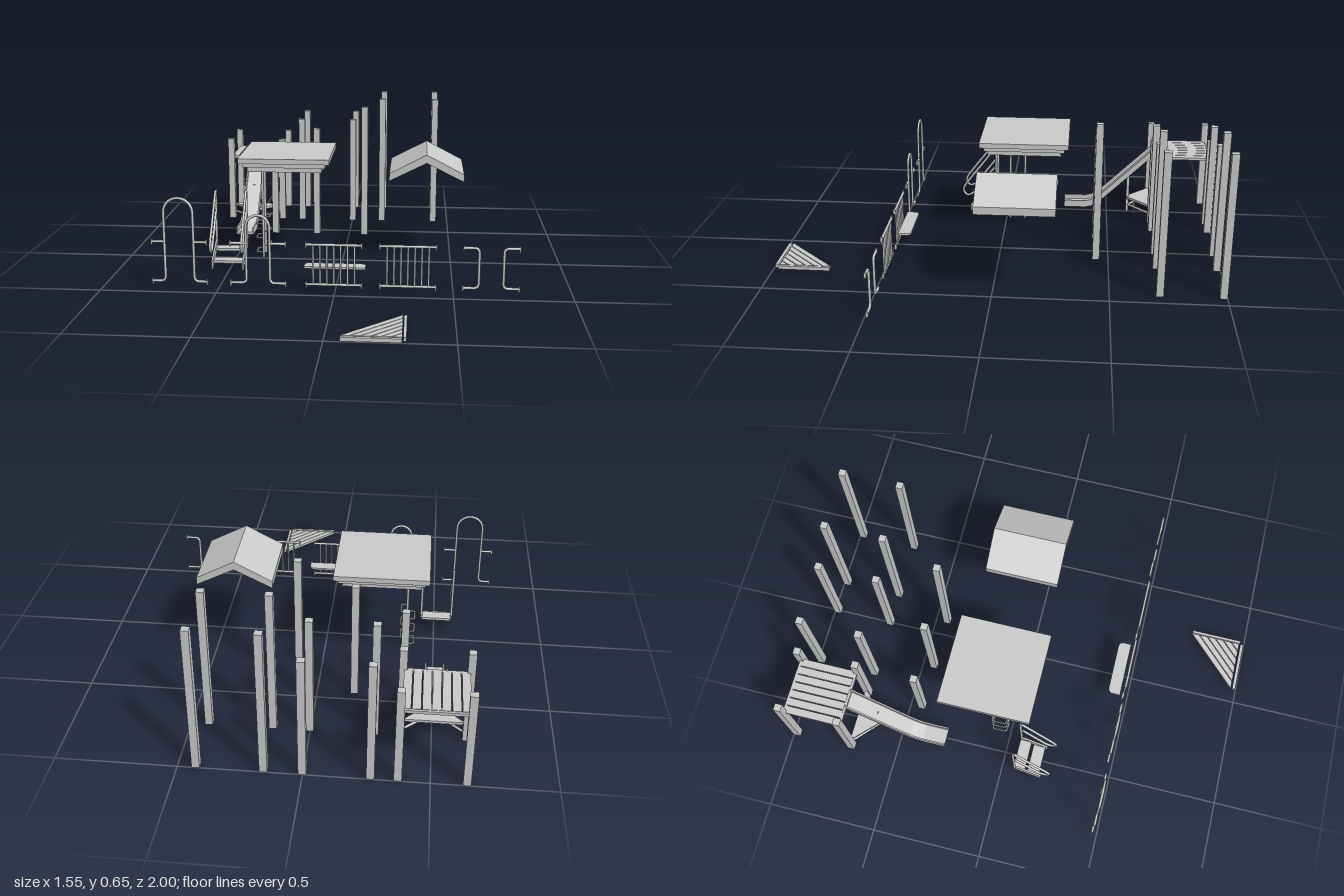
import * as THREE from 'three';

const mat = new THREE.MeshStandardMaterial({ color: 0xcccccc, side: THREE.DoubleSide });
const V = (x, y, z) => new THREE.Vector3(x, y, z);

function add(parent, name, geo) {
  const mesh = new THREE.Mesh(geo, mat);
  mesh.name = name;
  parent.add(mesh);
  return mesh;
}

function group(parent, name) {
  const g = new THREE.Group();
  g.name = name;
  parent.add(g);
  return g;
}

// Box given by its limits on each axis
function box(parent, name, x0, x1, y0, y1, z0, z1) {
  const geo = new THREE.BoxGeometry(x1 - x0, y1 - y0, z1 - z0);
  return add(parent, name, geo.translate((x0 + x1) / 2, (y0 + y1) / 2, (z0 + z1) / 2));
}

// Pipe through points with rounded corners
function pipe(parent, name, pts, r, fillet = 0.02) {
  const path = new THREE.CurvePath();
  let from = pts[0];
  for (let i = 1; i < pts.length - 1; i++) {
    const p = pts[i];
    const reach = (q) => p.clone().lerp(q, Math.min(0.5, fillet / p.distanceTo(q)));
    const a = reach(pts[i - 1]), b = reach(pts[i + 1]);
    if (from.distanceTo(a) > 1e-5) path.add(new THREE.LineCurve3(from, a));
    path.add(new THREE.QuadraticBezierCurve3(a, p, b));
    from = b;
  }
  path.add(new THREE.LineCurve3(from, pts[pts.length - 1]));
  return add(parent, name, new THREE.TubeGeometry(path, pts.length > 2 ? 72 : 1, r, 8));
}

const shapeOf = (pts) => new THREE.Shape(pts.map(([a, b]) => new THREE.Vector2(a, b)));

// Outline in (z, y), extruded along x around a centre
function sideSlab(parent, name, pts, x, width) {
  const geo = new THREE.ExtrudeGeometry(shapeOf(pts), { depth: width, bevelEnabled: false });
  return add(parent, name, geo.rotateY(-Math.PI / 2).translate(x + width / 2, 0, 0));
}

// Outline in (x, z), extruded downward from a top height
function flatSlab(parent, name, shape, top, thick) {
  const geo = new THREE.ExtrudeGeometry(shape, { depth: thick, bevelEnabled: false });
  return add(parent, name, geo.rotateX(Math.PI / 2).translate(0, top, 0));
}

function buildPosts(root) {
  const g = group(root, 'posts');
  const rows = [
    [-0.984, [[-0.642, 0.43], [-0.373, 0.43], [-0.266, 0.54], [0.002, 0.54], [0.156, 0.65], [0.426, 0.65]]],
    [-0.715, [[-0.642, 0.43], [-0.373, 0.43], [-0.266, 0.54], [0.002, 0.54], [0.156, 0.65], [0.426, 0.65]]],
    [-0.444, [[-0.373, 0.43], [-0.162, 0.54], [0.078, 0.65]]],
  ];
  for (const [z, list] of rows)
    for (const [x, h] of list) box(g, 'post', x - 0.016, x + 0.016, 0, h, z - 0.016, z + 0.016);
}

function buildDeck(root) {
  const g = group(root, 'deck');
  const n = 7, x0 = -0.64, w = 0.265 / n;
  for (let i = 0; i < n; i++)
    box(g, 'deckPlank', x0 + i * w + 0.002, x0 + (i + 1) * w - 0.002, 0.328, 0.34, -0.975, -0.725);
  for (const z of [-0.979, -0.721]) box(g, 'deckBeam', -0.63, -0.385, 0.325, 0.338, z - 0.006, z + 0.006);
}

function buildSlide(root) {
  const g = group(root, 'slide');
  const base = [[-0.285, 0.03], [-0.39, 0.03], [-0.42, 0.037], [-0.45, 0.054], [-0.48, 0.081], [-0.72, 0.315]];
  const band = (h) => [...base, ...base.map(([z, y]) => [z, y + h]).reverse()];
  sideSlab(g, 'slideBed', band(0.012), -0.507, 0.085);
  for (const s of [-1, 1]) sideSlab(g, 'slideWall', band(0.034), -0.507 + s * 0.04, 0.007);
}

// Triangular seat and thin mast under the deck
function buildCornerSeat(root) {
  const g = group(root, 'cornerSeat');
  const cx = -0.507, back = -0.715;
  flatSlab(g, 'seatPlate', shapeOf([[cx - 0.128, back], [cx + 0.128, back], [cx + 0.01, -0.6], [cx - 0.01, -0.6]]), 0.08, 0.012);
  for (const s of [-1, 1]) {
    pipe(g, 'seatBrace', [V(cx + s * 0.12, 0.035, back), V(cx, 0.035, -0.605)], 0.006);
    box(g, 'seatLeg', cx + s * 0.033 - 0.003, cx + s * 0.033 + 0.003, 0, 0.07, -0.64, -0.634);
  }
  box(g, 'mast', cx - 0.006, cx + 0.006, 0, 0.21, -0.611, -0.597);
}

function buildRoofs(root) {
  const stack = group(root, 'steppedRoof');
  const layers = [[0.17, 0.43, 0.453], [0.187, 0.453, 0.474], [0.206, 0.474, 0.497]];
  for (const [h, y0, y1] of layers) box(stack, 'roofLayer', -0.26 - h, -0.26 + h, y0, y1, -0.1 - h, -0.1 + h);

  const outline = [[0.215, 0.398], [0.382, 0.482], [0.55, 0.398], [0.55, 0.432], [0.382, 0.52], [0.215, 0.432]];
  const geo = new THREE.ExtrudeGeometry(shapeOf(outline), { depth: 0.338, bevelEnabled: false });
  add(root, 'gableRoof', geo.translate(0, 0, -0.268));
}

function buildLadder(root) {
  const g = group(root, 'ladder');
  for (const z of [-0.018, -0.09]) pipe(g, 'ladderRail', [V(-0.373, 0, z), V(-0.373, 0.42, z)], 0.006);
  // Rungs bow out alternately to either side
  for (let i = 0; i < 6; i++) {
    const y = 0.025 + i * 0.034, x = -0.373 + (i % 2 ? 0.028 : -0.034);
    pipe(g, 'ladderRung', [V(-0.373, y, -0.018), V(x, y, -0.022), V(x, y, -0.086), V(-0.373, y, -0.09)], 0.004, 0.01);
  }
}

function buildSteps(root) {
  const g = group(root, 'steps');
  for (const x of [-0.578, -0.438]) {
    sideSlab(g, 'stringer', [[0.188, 0.002], [0.065, 0.072], [0.065, 0.112], [0.188, 0.042]], x, 0.008);
    pipe(g, 'handrail', [V(x, 0.09, 0.064), V(x, 0.345, 0.058), V(x, 0.335, 0.07), V(x, 0.15, 0.212),
      V(x, 0.118, 0.23), V(x, 0.085, 0.21), V(x, 0.095, 0.18), V(x, 0.24, 0.068)], 0.006, 0.018);
  }
  box(g, 'tread', -0.575, -0.441, 0.028, 0.04, 0.122, 0.178);
  box(g, 'tread', -0.575, -0.441, 0.066, 0.078, 0.058, 0.112);
}

const Z = 0.478, LOW = 0.042, HIGH = 0.216;

// Small mounting plate at the end of a rail
function plate(g, x, y) {
  box(g, 'mountPlate', x - 0.003, x + 0.003, y - 0.014, y + 0.01, Z - 0.005, Z + 0.005);
}

function buildArch(root, cx, half, radius, top) {
  const g = group(root, 'archRail');
  const pts = [V(cx - half, LOW, Z), V(cx - radius, LOW, Z)];
  for (let i = 0; i <= 16; i++) {
    const a = Math.PI * (1 - i / 16);
    pts.push(V(cx + radius * Math.cos(a), top - radius + radius * Math.sin(a), Z));
  }
  pts.push(V(cx + radius, LOW, Z), V(cx + half, LOW, Z));
  pipe(g, 'archTube', pts, 0.006);
  for (const s of [-1, 1]) {
    pipe(g, 'archBracket', [V(cx + s * half, HIGH, Z), V(cx + s * radius, HIGH, Z)], 0.006);
    for (const y of [LOW, HIGH]) plate(g, cx + s * half, y);
  }
}

function buildBarrier(root, cx) {
  const g = group(root, 'barrier');
  for (const y of [LOW, HIGH]) {
    pipe(g, 'barrierRail', [V(cx - 0.117, y, Z), V(cx + 0.117, y, Z)], 0.006);
    for (const s of [-1, 1]) plate(g, cx + s * 0.117, y);
  }
  for (let i = -3; i <= 3; i++)
    pipe(g, 'baluster', [V(cx + i * 0.029, LOW, Z), V(cx + i * 0.029, HIGH, Z)], 0.0045);
}

function buildGrip(root, end, turn) {
  const g = group(root, 'gripRail');
  pipe(g, 'gripTube', [V(end, LOW, Z), V(turn, LOW, Z), V(turn, HIGH, Z), V(end, HIGH, Z)], 0.006, 0.022);
  for (const y of [LOW, HIGH]) plate(g, end, y);
}

// Shelf with rounded rear corners
function buildShelf(root) {
  const s = new THREE.Shape();
  s.moveTo(-0.13, 0.462).lineTo(0.13, 0.462).lineTo(0.13, 0.43);
  s.quadraticCurveTo(0.13, 0.404, 0.104, 0.404).lineTo(-0.104, 0.404);
  s.quadraticCurveTo(-0.13, 0.404, -0.13, 0.43);
  flatSlab(root, 'shelf', s, 0.114, 0.009);
}

// Triangular platform of diagonal planks with two edge beams
function buildTriangleDeck(root) {
  const g = group(root, 'triangleDeck');
  const cx = 0.295, cz = 0.975, n = 6, step = 0.236 / n;
  for (let i = 0; i < n; i++) {
    const a = i * step + 0.002, b = (i + 1) * step - 0.003;
    flatSlab(g, 'trianglePlank', shapeOf([[cx - a, cz], [cx, cz - a], [cx, cz - b], [cx - b, cz]]), 0.016, 0.012);
  }
  box(g, 'edgeBeam', 0.299, 0.311, 0, 0.016, 0.745, 0.98);
  box(g, 'edgeBeam', 0.062, 0.295, 0, 0.016, 0.982, 0.996);
}

export function createModel() {
  const root = new THREE.Group();
  root.name = 'playgroundParts';
  buildPosts(root);
  buildDeck(root);
  buildSlide(root);
  buildCornerSeat(root);
  buildRoofs(root);
  buildLadder(root);
  buildSteps(root);
  buildArch(root, -0.657, 0.117, 0.062, 0.406);
  buildArch(root, -0.322, 0.117, 0.05, 0.338);
  buildBarrier(root, -0.002);
  buildBarrier(root, 0.308);
  buildGrip(root, 0.538, 0.603);
  buildGrip(root, 0.77, 0.705);
  buildShelf(root);
  buildTriangleDeck(root);
  return root;
}
